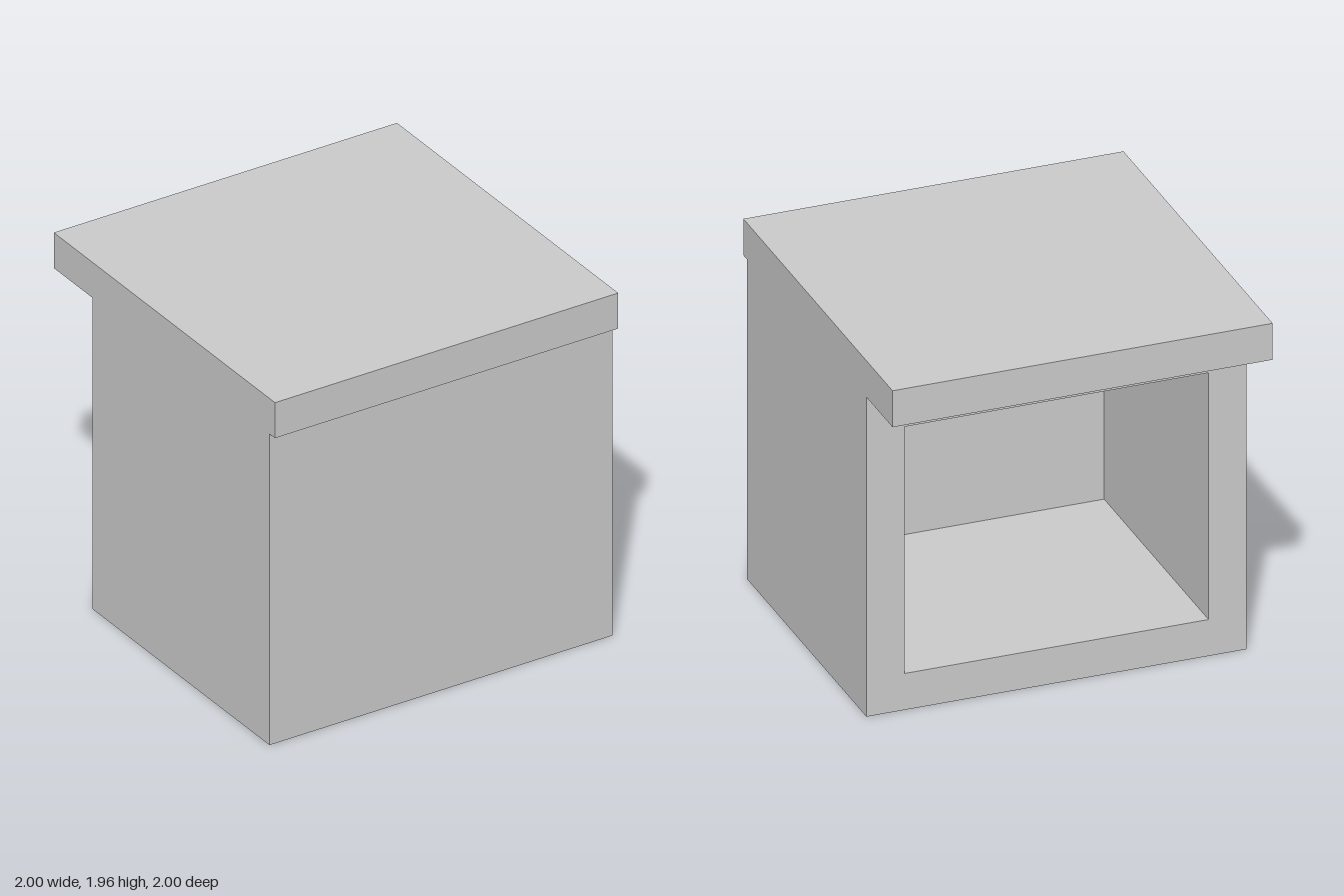
import * as THREE from 'three';
import { mergeGeometries } from 'three/addons/utils/BufferGeometryUtils.js';

const WALL = 0.2, WIDTH = 2, HEIGHT = 1.755, BACK = -0.65, FRONT = 0.95;

// Box without its back (-z) side; inward = true turns it into a cavity lining
function openBox(w, h, zBack, zFront, inward) {
  const geo = new THREE.BoxGeometry(w, h, zFront - zBack);
  const index = Array.from(geo.index.array).slice(0, 30);
  geo.setIndex(inward ? index.reverse() : index);
  geo.computeVertexNormals();
  return geo.translate(0, HEIGHT / 2, (zBack + zFront) / 2);
}

function rectangle(path, w, h) {
  path.moveTo(-w / 2, -h / 2);
  path.lineTo(w / 2, -h / 2);
  path.lineTo(w / 2, h / 2);
  path.lineTo(-w / 2, h / 2);
  path.closePath();
  return path;
}

export function createModel() {
  const model = new THREE.Group();
  model.name = 'cabinet';
  const material = new THREE.MeshStandardMaterial({ color: 0xcccccc });

  // Hollow body, open at the back
  const innerW = WIDTH - 2 * WALL, innerH = HEIGHT - 2 * WALL;
  const rimShape = rectangle(new THREE.Shape(), WIDTH, HEIGHT);
  rimShape.holes.push(rectangle(new THREE.Path(), innerW, innerH));
  const rim = new THREE.ShapeGeometry(rimShape).rotateY(Math.PI).translate(0, HEIGHT / 2, BACK);
  const body = new THREE.Mesh(mergeGeometries([
    openBox(WIDTH, HEIGHT, BACK, FRONT, false),
    openBox(innerW, innerH, BACK, FRONT - WALL, true),
    rim,
  ]), material);
  body.name = 'body';
  model.add(body);

  // Overhanging top slab
  const top = new THREE.Mesh(new THREE.BoxGeometry(2, 0.2, 2), material);
  top.name = 'top';
  top.position.y = HEIGHT + 0.1;
  model.add(top);

  return model;
}
